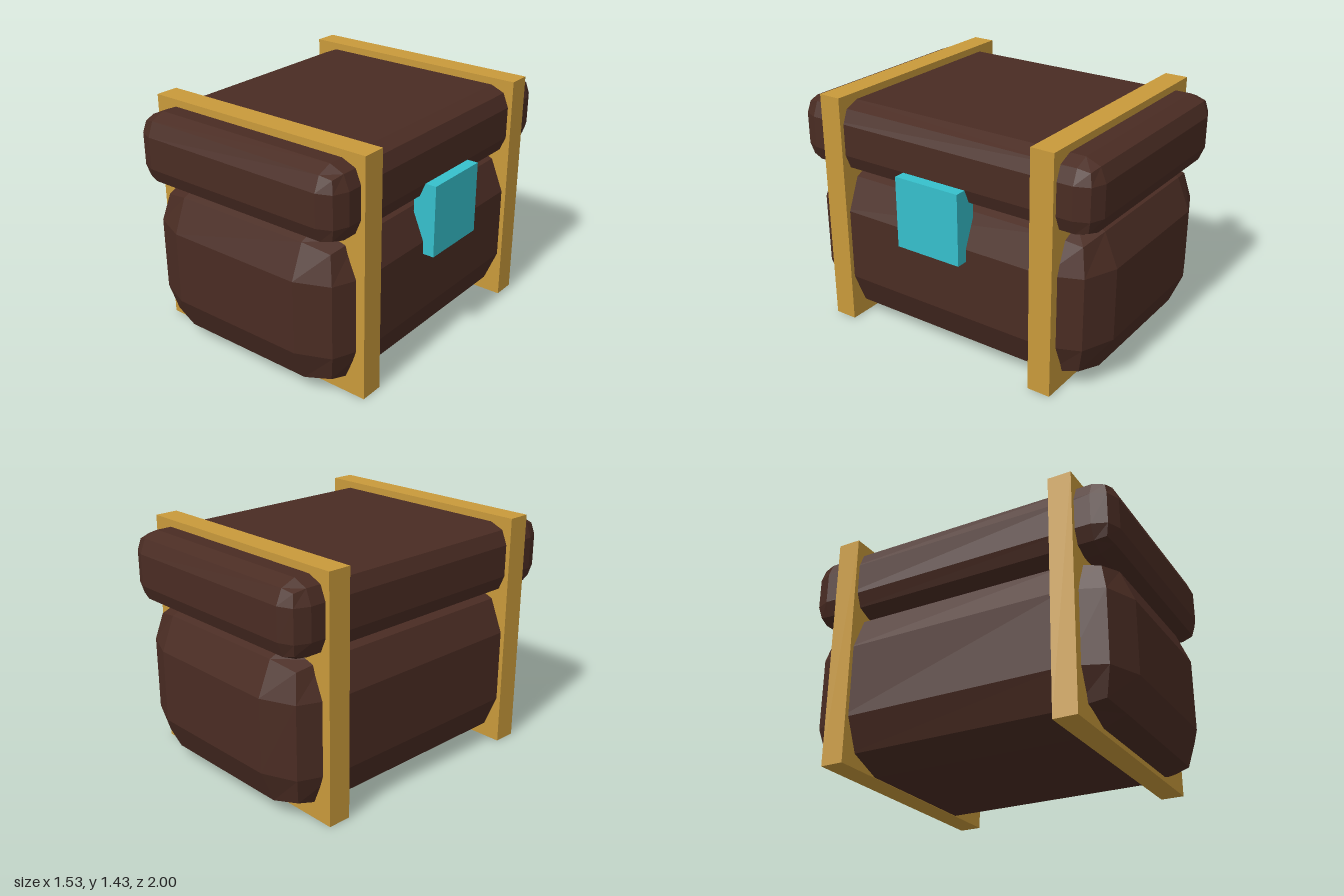
import * as THREE from 'three';
import { RoundedBoxGeometry } from 'three/addons/geometries/RoundedBoxGeometry.js';

function material(name, color, flatShading = false) {
  const m = new THREE.MeshStandardMaterial({ color, flatShading });
  m.name = name;
  return m;
}

export function createModel() {
  const chest = new THREE.Group();
  chest.name = 'chest';

  const wood = material('dark brown wood', 0x4a2c23, true);
  const gold = material('gold metal', 0xc99a3b);
  const cyan = material('cyan latch', 0x36c0cc);

  // Adds a part spanning the given ranges; a radius gives it bevelled edges
  function addPart(name, mat, [x0, x1], [y0, y1], [z0, z1], radius = 0) {
    const size = [x1 - x0, y1 - y0, z1 - z0];
    const geometry = radius
      ? new RoundedBoxGeometry(...size, 1, radius)
      : new THREE.BoxGeometry(...size);
    const mesh = new THREE.Mesh(geometry, mat);
    mesh.name = name;
    mesh.position.set((x0 + x1) / 2, (y0 + y1) / 2, (z0 + z1) / 2);
    chest.add(mesh);
  }

  // Wooden body and lid with single-step bevels
  addPart('body', wood, [-0.738, 0.69], [0.003, 1], [-1, 1], 0.28);
  addPart('lid', wood, [-0.738, 0.692], [0.957, 1.387], [-1, 1], 0.12);

  // Metal bands around both ends
  addPart('frontBand', gold, [-0.765, 0.718], [0, 1.43], [0.645, 0.786]);
  addPart('backBand', gold, [-0.765, 0.718], [0, 1.43], [-0.786, -0.645]);

  // Latch plate on the model's left side
  addPart('latch', cyan, [0.62, 0.76], [0.645, 1.075], [-0.213, 0.213]);

  return chest;
}
